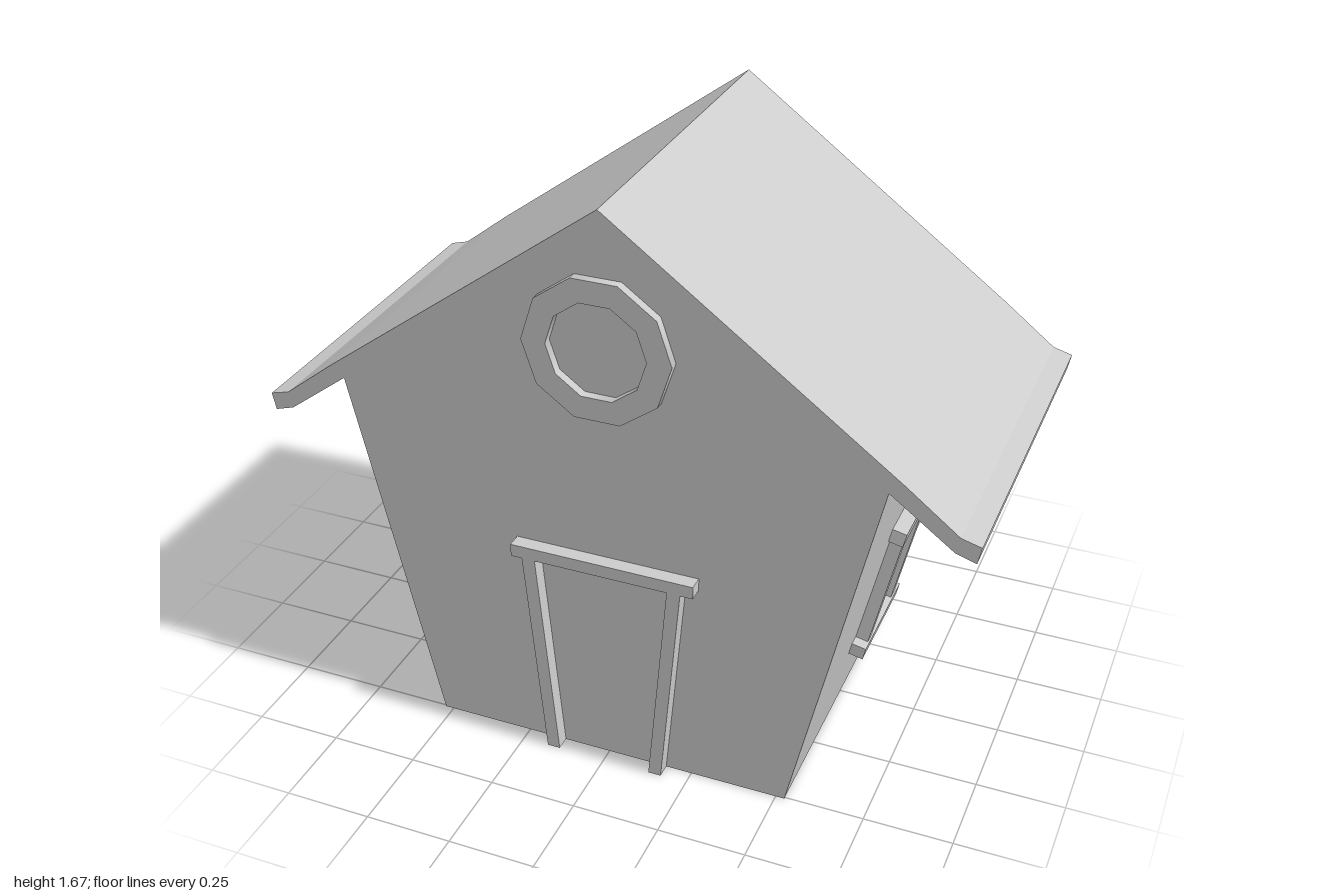
import * as THREE from 'three';

const material = new THREE.MeshStandardMaterial({ color: 0xcccccc, flatShading: true });
const smooth = new THREE.MeshStandardMaterial({ color: 0xcccccc, side: THREE.DoubleSide });

// Flat prism from an outline, its back at z = 0
function slab(name, points, depth) {
  const shape = new THREE.Shape(points.map(([x, y]) => new THREE.Vector2(x, y)));
  const geometry = new THREE.ExtrudeGeometry(shape, { depth, bevelEnabled: false });
  const mesh = new THREE.Mesh(geometry, material);
  mesh.name = name;
  return mesh;
}

// Four-sided board from a bottom and a top span
const board = (b0, b1, y0, t0, t1, y1) => [[b0, y0], [b1, y0], [t1, y1], [t0, y1]];

const FRONT = 0.505, BACK = -0.545;
const BASE = 0.525, EAVE_X = 0.76, EAVE_Y = 1.055;

function createHouse() {
  // Right half of the gable outline, from the floor round the eave to the ridge
  const half = [
    [BASE, 0], [EAVE_X, EAVE_Y], [0.935, 0.925], [0.99, 0.908],
    [1, 0.957], [0.945, 0.972], [0.8, 1.085],
  ];
  const left = half.map(([x, y]) => [-x, y]).reverse();
  const house = slab('wallsAndRoof', [...half, [0, 1.675], ...left], FRONT - BACK);
  house.position.z = BACK;
  return house;
}

function createDoorFrame() {
  const frame = new THREE.Group();
  frame.name = 'doorFrame';
  frame.add(
    slab('doorPost', board(-0.174, -0.137, 0, -0.228, -0.19, 0.635), 0.042),
    slab('doorPost', board(0.137, 0.174, 0, 0.194, 0.232, 0.635), 0.042),
    slab('doorLintel', board(-0.26, 0.268, 0.633, -0.26, 0.268, 0.67), 0.042),
  );
  frame.position.z = FRONT;
  return frame;
}

// Ten-sided ring on the gable
function createRoundWindow() {
  const ring = new THREE.Group();
  ring.name = 'roundWindow';
  const outer = 0.206, inner = 0.138, depth = 0.026;
  const face = new THREE.Mesh(new THREE.RingGeometry(inner, outer, 10), smooth);
  face.name = 'ringFace';
  face.position.z = depth;
  ring.add(face);
  for (const [name, r] of [['ringOuterEdge', outer], ['ringInnerEdge', inner]]) {
    const geometry = new THREE.CylinderGeometry(r, r, depth, 10, 1, true);
    geometry.rotateY(Math.PI / 2).rotateX(Math.PI / 2);
    const edge = new THREE.Mesh(geometry, smooth);
    edge.name = name;
    edge.position.z = depth / 2;
    ring.add(edge);
  }
  ring.position.set(-0.002, 1.298, FRONT);
  return ring;
}

// Window frame lying on a leaning side wall; side is 1 for +x, -1 for -x
function createSideWindow(side) {
  const lean = Math.atan2(EAVE_X - BASE, EAVE_Y);
  const parts = [
    ['windowSill', board(-0.135, 0.207, 0.258, -0.135, 0.207, 0.296), 0.042],
    ['windowLintel', board(-0.12, 0.225, 0.664, -0.117, 0.228, 0.705), 0.042],
    ['windowPost', board(-0.1, -0.06, 0.294, -0.082, -0.042, 0.667), 0.037],
    ['windowPost', board(0.13, 0.17, 0.294, 0.148, 0.188, 0.667), 0.037],
  ];
  const frame = new THREE.Group();
  frame.name = side > 0 ? 'leftWindow' : 'rightWindow';
  for (const [name, points, depth] of parts) {
    const part = slab(name, points.map(([u, v]) => [u * side, v]), depth);
    part.geometry.rotateY(Math.PI / 2).rotateZ(-lean).translate(BASE, 0, 0);
    frame.add(part);
  }
  if (side < 0) frame.rotation.y = Math.PI;
  return frame;
}

export function createModel() {
  const model = new THREE.Group();
  model.name = 'house';
  model.add(createHouse(), createDoorFrame(), createRoundWindow());
  model.add(createSideWindow(1), createSideWindow(-1));
  return model;
}
